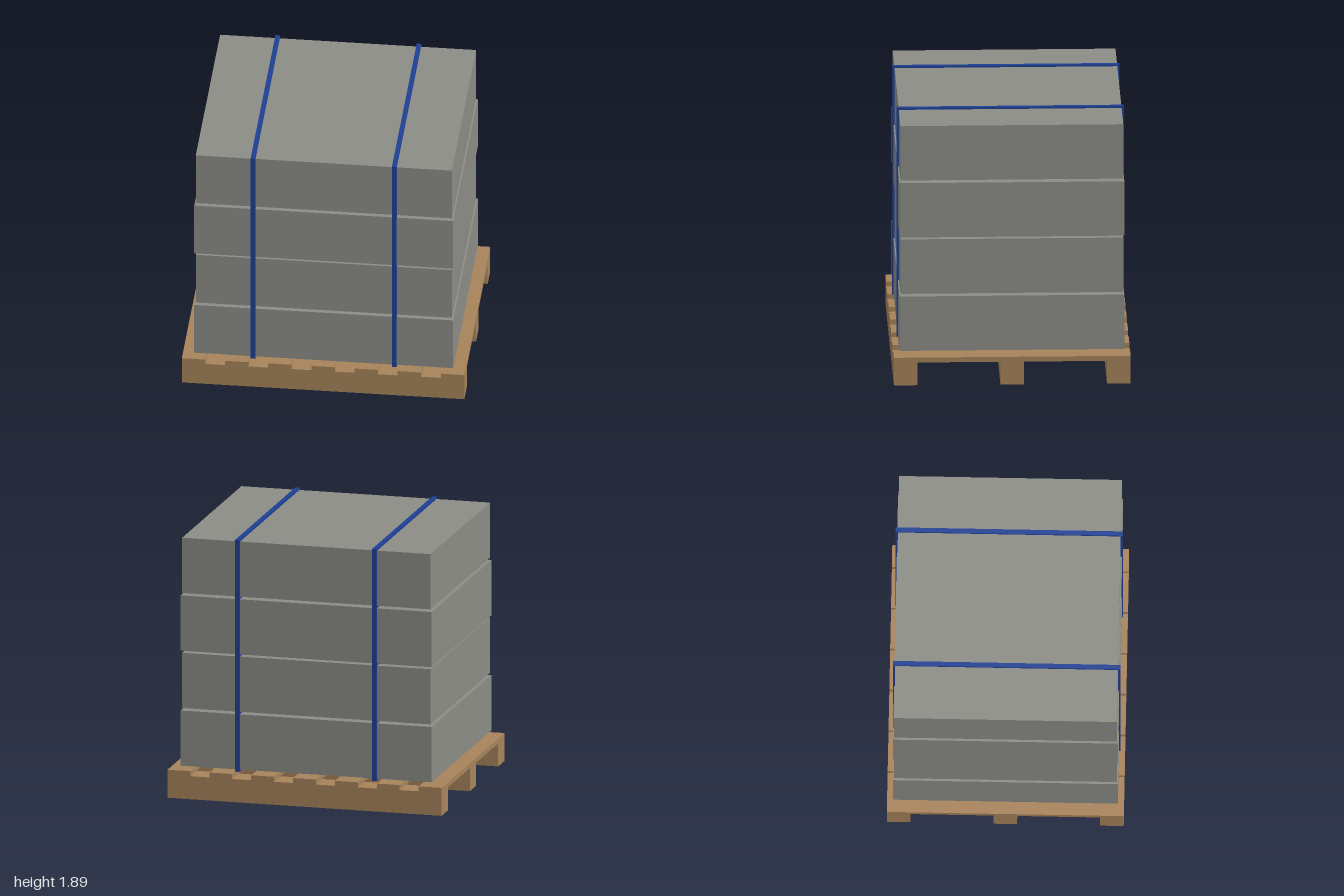
import * as THREE from 'three';

export function createModel() {
  const model = new THREE.Group();
  model.name = 'loadedPallet';

  const material = (name, color) => {
    const m = new THREE.MeshStandardMaterial({ color });
    m.name = name;
    return m;
  };
  const wood = material('wood', 0xa6835a);
  const grey = material('greyBlock', 0x8c8c86);
  const blue = material('blueStrap', 0x1f3f94);

  // Box placed by its centre in x and z and its bottom in y
  const addBox = (parent, name, mat, [w, h, d], [x, bottom, z]) => {
    const mesh = new THREE.Mesh(new THREE.BoxGeometry(w, h, d), mat);
    mesh.name = name;
    mesh.position.set(x, bottom + h / 2, z);
    parent.add(mesh);
  };
  const addGroup = (name) => {
    const group = new THREE.Group();
    group.name = name;
    model.add(group);
    return group;
  };

  // Pallet: three runners along x carrying seven deck planks along z
  const pallet = addGroup('pallet');
  for (const z of [-0.75, 0, 0.75]) {
    addBox(pallet, 'runner', wood, [2, 0.167, 0.167], [0, 0, z]);
  }
  for (let i = -3; i <= 3; i++) {
    addBox(pallet, 'deckPlank', wood, [0.167, 0.036, 1.667], [i * 0.3055, 0.167, 0]);
  }

  // Four stacked blocks, every other one slightly smaller
  const stack = addGroup('blockStack');
  for (let i = 0; i < 4; i++) {
    const size = i % 2 ? [1.813, 0.4, 1.568] : [1.833, 0.4, 1.583];
    addBox(stack, 'block', grey, size, [0, 0.228 + i * 0.417, 0]);
  }

  // Two straps around the stack, also filling the gaps between blocks
  const straps = addGroup('straps');
  for (const x of [-0.5, 0.5]) {
    addBox(straps, 'strap', blue, [0.033, 1.68, 1.6], [x, 0.213, 0]);
  }

  return model;
}
